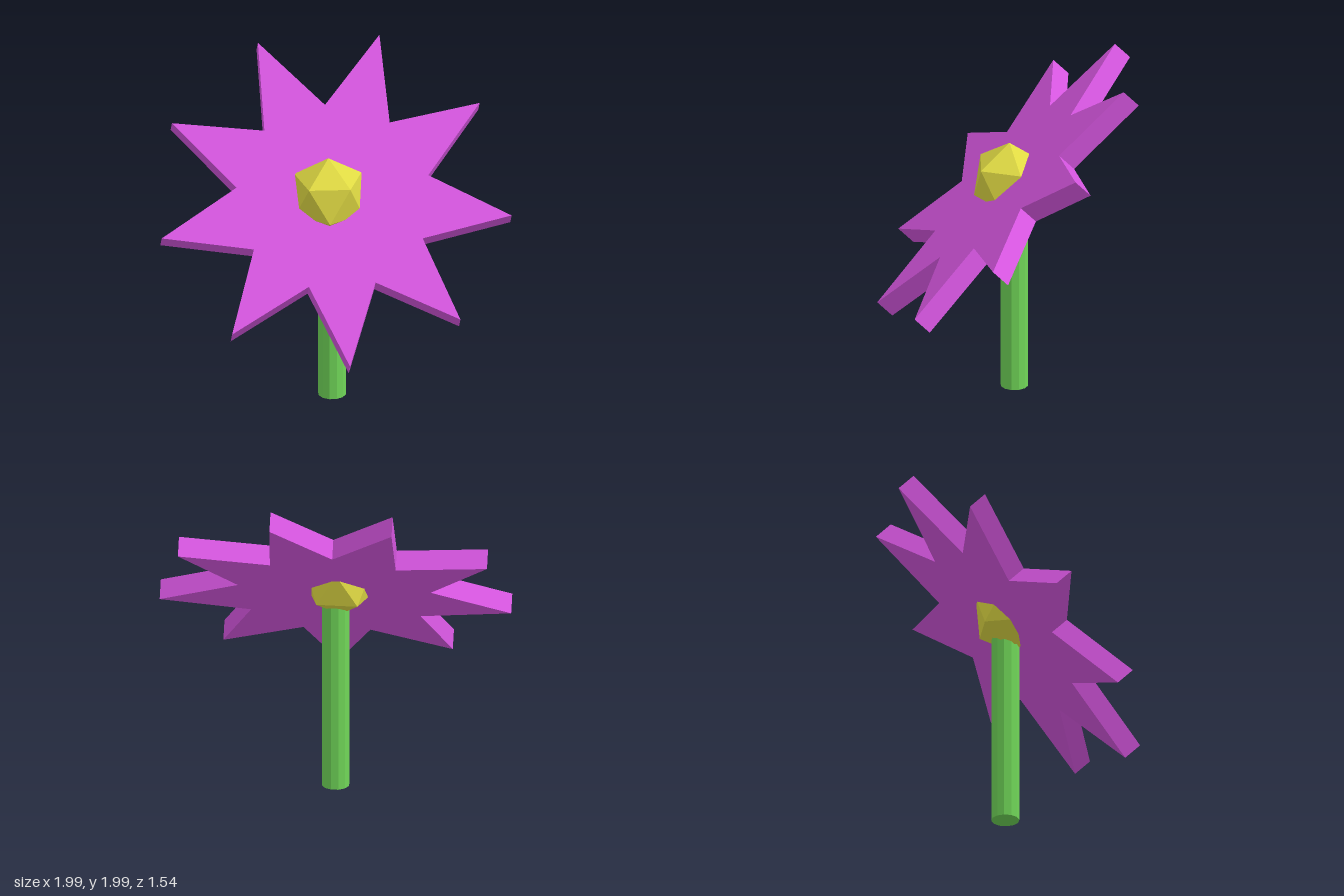
import * as THREE from 'three';

const flat = (name, color) => {
  const m = new THREE.MeshStandardMaterial({ color, flatShading: true });
  m.name = name;
  return m;
};

export function createModel() {
  const group = new THREE.Group();
  group.name = 'flower';
  const add = (name, geometry, material) => {
    const mesh = new THREE.Mesh(geometry, material);
    mesh.name = name;
    group.add(mesh);
    return mesh;
  };

  // Stem, ending inside the flower centre
  const stem = add('stem', new THREE.CylinderGeometry(0.081, 0.081, 1.2, 12), flat('stem green', 0x70d658));
  stem.position.set(0.03, 0.6, 0);

  // Petals: nine-pointed star, extruded and tilted to face up and forward
  const points = 9, depth = 0.122;
  const star = new THREE.Shape();
  for (let i = 0; i < points * 2; i++) {
    const r = i % 2 ? 0.565 : 1.03;
    const a = (i * Math.PI) / points;
    const x = r * Math.sin(a), y = r * Math.cos(a);
    if (i) star.lineTo(x, y);
    else star.moveTo(x, y);
  }
  star.closePath();
  const petalGeometry = new THREE.ExtrudeGeometry(star, { depth, bevelEnabled: false });
  petalGeometry.translate(0, 0, -depth);
  const normal = new THREE.Vector3(-0.28, 1.02, 1).normalize();
  const right = new THREE.Vector3(-0.178, 0.663, -0.723).cross(normal).normalize();
  const up = normal.clone().cross(right);
  petalGeometry.applyMatrix4(new THREE.Matrix4().makeBasis(right, up, normal));
  const petals = add('petals', petalGeometry, flat('petal magenta', 0xd656e0));
  petals.position.set(0.015, 1.288, 0.07);

  // Flower centre: icosahedron with one corner pointing straight up
  const ico = new THREE.IcosahedronGeometry(0.228, 0);
  ico.rotateX(-Math.atan((1 + Math.sqrt(5)) / 2));
  ico.rotateY(Math.PI / 2);
  const center = add('flowerCenter', ico, flat('center yellow', 0xdfd943));
  center.position.set(0, 1.292, 0.02);

  return group;
}
